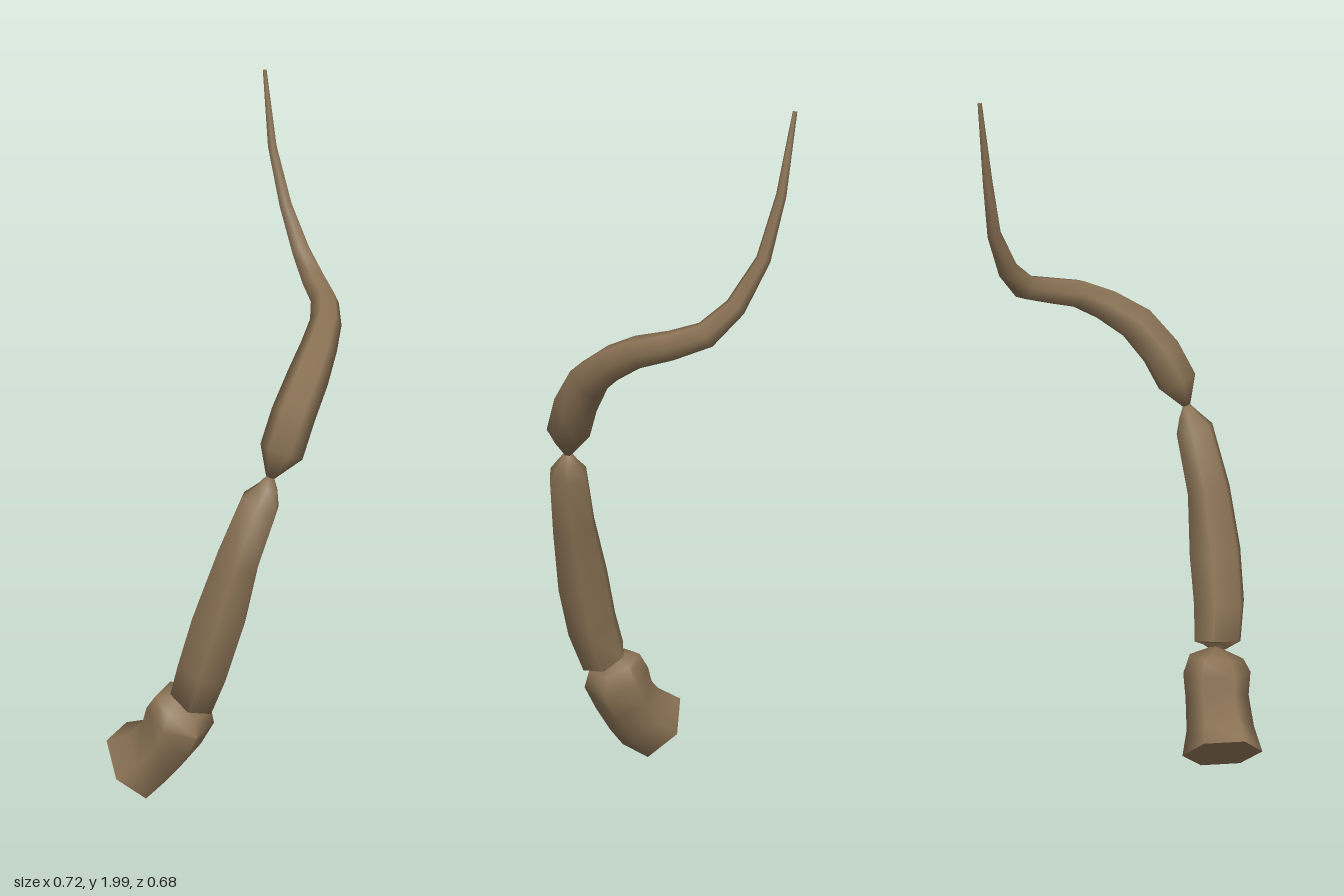
import * as THREE from 'three';
import { toCreasedNormals } from 'three/addons/utils/BufferGeometryUtils.js';

const SIDES = 6;

// Closed hexagonal tube through rings [x, y, z, radius]; ref points to the first corner.
function loft(rings, ref) {
  const pts = rings.map(r => new THREE.Vector3(r[0], r[1], r[2]));
  const last = pts.length - 1;
  const pos = [], idx = [];
  let u = ref.clone();
  pts.forEach((p, i) => {
    const t = pts[Math.min(i + 1, last)].clone().sub(pts[Math.max(i - 1, 0)]).normalize();
    u = u.clone().addScaledVector(t, -u.dot(t)).normalize();
    const v = t.clone().cross(u);
    for (let j = 0; j < SIDES; j++) {
      const a = j / SIDES * Math.PI * 2, r = rings[i][3];
      const q = p.clone().addScaledVector(u, r * Math.cos(a)).addScaledVector(v, r * Math.sin(a));
      pos.push(q.x, q.y, q.z);
    }
  });
  const start = pos.length / 3, end = start + 1;
  pos.push(...pts[0].toArray(), ...pts[last].toArray());
  for (let j = 0; j < SIDES; j++) {
    const k = (j + 1) % SIDES;
    for (let i = 0; i < last; i++) {
      const a = i * SIDES + j, b = i * SIDES + k;
      idx.push(a, b, a + SIDES, b, b + SIDES, a + SIDES);
    }
    idx.push(start, k, j, end, last * SIDES + j, last * SIDES + k);
  }
  const g = new THREE.BufferGeometry();
  g.setAttribute('position', new THREE.Float32BufferAttribute(pos, 3));
  g.setIndex(idx);
  return toCreasedNormals(g, 1.2);
}

export function createModel() {
  const group = new THREE.Group();
  group.name = 'jointedLeg';
  const brown = new THREE.MeshStandardMaterial({ color: 0x8b7355 });
  brown.name = 'brown';

  const lowerJoint = [-0.155, 0.35, 0.195, 0.02];
  const upperJoint = [0.062, 1.042, 0.278, 0.012];

  const parts = {
    // short thick root with a slanted flat end
    baseSegment: {
      ref: new THREE.Vector3(0, 1, -1),
      rings: [
        [-0.275, 0.09, 0.08, 0.118],
        [-0.23, 0.14, 0.12, 0.1],
        [-0.185, 0.215, 0.155, 0.094],
        [-0.165, 0.28, 0.175, 0.1],
        [-0.158, 0.33, 0.18, 0.08],
        lowerJoint,
      ],
    },
    // long middle length, pinched at both joints
    middleSegment: {
      ref: new THREE.Vector3(0, 0, -1),
      rings: [
        lowerJoint,
        [-0.135, 0.36, 0.21, 0.074],
        [-0.112, 0.47, 0.24, 0.08],
        [-0.075, 0.62, 0.26, 0.081],
        [-0.03, 0.8, 0.278, 0.067],
        [0.034, 0.975, 0.283, 0.058],
        [0.056, 1.015, 0.28, 0.03],
        upperJoint,
      ],
    },
    // curved outer length tapering to a fine tip
    tipSegment: {
      ref: new THREE.Vector3(0, 0, -1),
      rings: [
        upperJoint,
        [0.095, 1.11, 0.272, 0.06],
        [0.135, 1.2, 0.245, 0.06],
        [0.19, 1.285, 0.2, 0.057],
        [0.245, 1.345, 0.13, 0.05],
        [0.287, 1.385, 0.06, 0.044],
        [0.315, 1.41, -0.03, 0.04],
        [0.315, 1.44, -0.12, 0.037],
        [0.299, 1.51, -0.195, 0.029],
        [0.273, 1.63, -0.264, 0.02],
        [0.245, 1.79, -0.306, 0.014],
        [0.23, 2, -0.337, 0.006],
      ],
    },
  };

  for (const [name, { rings, ref }] of Object.entries(parts)) {
    const mesh = new THREE.Mesh(loft(rings, ref), brown);
    mesh.name = name;
    group.add(mesh);
  }
  return group;
}
